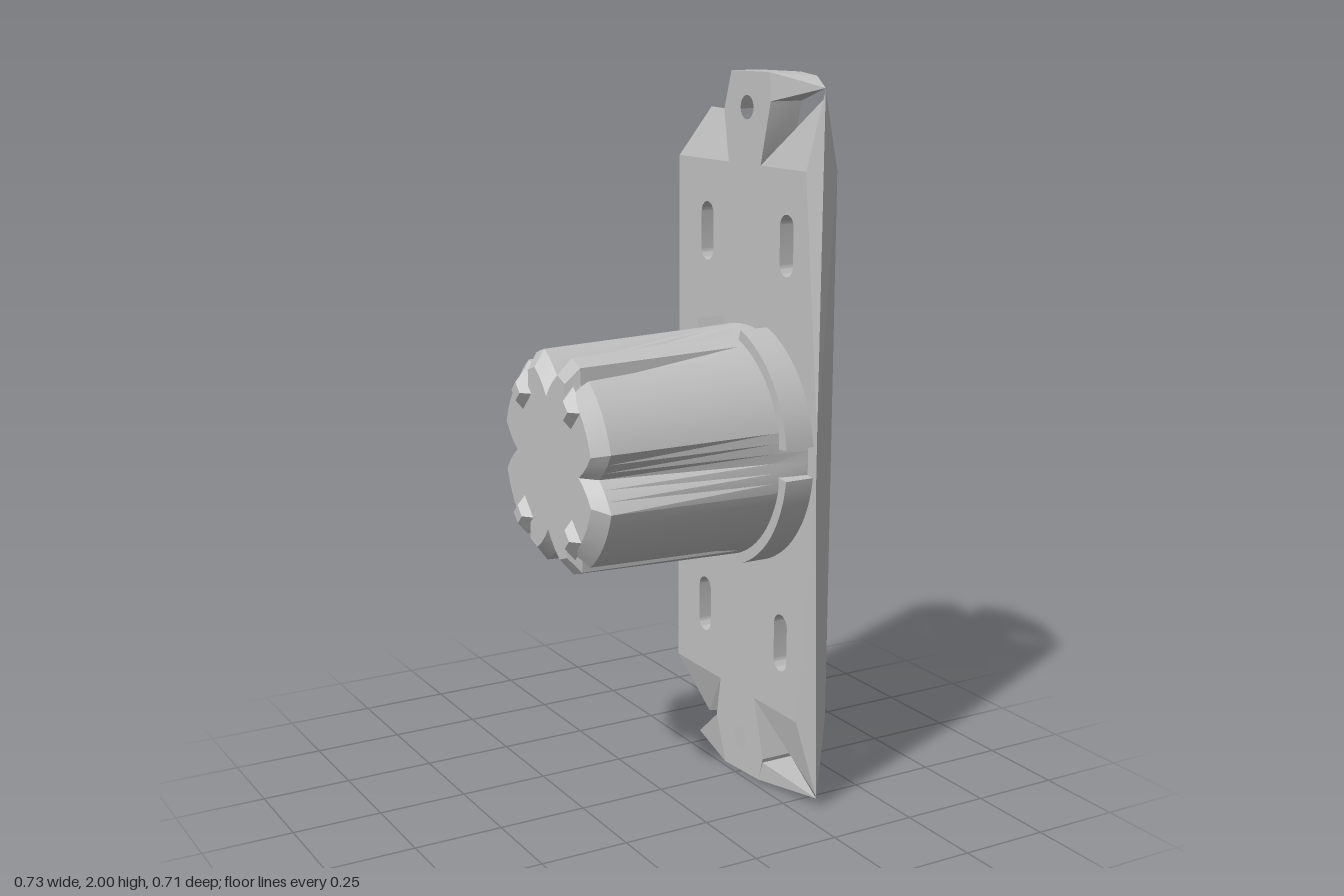
import * as THREE from 'three';
import { toCreasedNormals } from 'three/addons/utils/BufferGeometryUtils.js';
import { ConvexGeometry } from 'three/addons/geometries/ConvexGeometry.js';

const X0 = 0.265, X1 = 0.362, TIP = 0.31;

export function createModel() {
  const model = new THREE.Group();
  const grey = new THREE.MeshStandardMaterial({ color: 0xc0c0c0 });
  grey.name = 'grey';

  const add = (name, geo, crease = 0.4) => {
    const mesh = new THREE.Mesh(toCreasedNormals(geo, crease), grey);
    mesh.name = name;
    model.add(mesh);
    return mesh;
  };

  // Extrudes a shape drawn in (-z, y) along x
  const extrudeX = (shape, x0, x1) => {
    const g = new THREE.ExtrudeGeometry(shape, { depth: x1 - x0, bevelEnabled: false, curveSegments: 16 });
    return g.rotateY(Math.PI / 2).translate(x0, 0, 0);
  };

  // Mounting plate with end tongues; points are [z, y]
  const outline = [
    [0.285, 0.25], [0.285, 1.755], [0.07, 1.755], [0.115, 1.925], [0.11, 2], [-0.08, 2],
    [-0.115, 1.895], [-0.09, 1.755], [-0.355, 1.755], [-0.355, 0.25], [-0.11, 0.25],
    [-0.13, 0.13], [-0.08, 0], [0.1, 0.01], [0.12, 0.08], [0.07, 0.25],
  ];
  const plate = new THREE.Shape(outline.map(([z, y]) => new THREE.Vector2(-z, y)));
  for (const y of [0.105, 1.905]) {
    plate.holes.push(new THREE.Path().absarc(0, y, 0.032, 0, Math.PI * 2, true));
  }
  for (const u of [-0.2, 0.2]) for (const y of [0.455, 1.555]) {
    const slot = new THREE.Path();
    slot.absarc(u, y + 0.05, 0.032, 0, Math.PI, false);
    slot.absarc(u, y - 0.05, 0.032, Math.PI, Math.PI * 2, false);
    slot.closePath();
    plate.holes.push(slot);
  }
  add('mountingPlate', extrudeX(plate, X0, X1));

  // Faceted pieces: full-thickness base points and thin tip points, both [z, y]
  const wedge = (name, base, tips) => {
    const pts = [];
    for (const [z, y] of base) pts.push(new THREE.Vector3(X0, y, z), new THREE.Vector3(X1, y, z));
    for (const [z, y] of tips) pts.push(new THREE.Vector3(TIP, y, z));
    add(name, new ConvexGeometry(pts), 0.05);
  };
  wedge('topBackCorner', [[-0.355, 1.755], [-0.09, 1.755]], [[-0.255, 1.895], [-0.115, 1.89]]);
  wedge('topFrontCorner', [[0.285, 1.755], [0.07, 1.755]], [[0.22, 1.89], [0.297, 1.94]]);
  wedge('bottomBackCorner', [[-0.355, 0.25], [-0.11, 0.25]], [[-0.245, 0.095], [-0.14, 0.13]]);
  wedge('bottomFrontCorner', [[0.285, 0.25], [0.07, 0.25]], [[0.2, 0.12], [0.32, 0.04]]);
  wedge('topFrontFin', [[0.115, 1.925], [0.11, 2]], [[0.3, 1.965], [0.26, 1.995]]);
  wedge('topBackFin', [[-0.08, 2], [-0.115, 1.895]], [[-0.16, 1.965]]);
  wedge('bottomFrontFin', [[0.1, 0.01], [0.12, 0.07]], [[0.325, 0.03]]);
  wedge('bottomBackFin', [[-0.08, 0], [-0.13, 0.13]], [[-0.3, 0.01]]);

  // Bowed, chamfered front edge of the plate
  add('frontEdge', new ConvexGeometry([
    [X0, 0.25, 0.285], [X0, 1.755, 0.285], [X1, 0.25, 0.285], [X1, 1.755, 0.285],
    [X0, 0.93, 0.358], [X0, 1.07, 0.358], [TIP, 1.96, 0.3], [TIP, 0.03, 0.325],
  ].map((p) => new THREE.Vector3(...p))), 0.05);

  // Grooved hub: rings of [x, radius], grooves fading out towards the plate
  const rings = [[-0.345, 0], [-0.345, 0.255], [-0.31, 0.3], [0.16, 0.315], [X0 + 0.01, 0.32]];
  const N = 72, pos = [], idx = [];
  const groove = (deg, x) => {
    const axis = Math.abs(((deg + 45) % 90) - 45);
    const fade = THREE.MathUtils.clamp((X0 - x) / 0.575, 0, 1);
    let d = 0.075 * Math.max(0, 1 - axis / 15) * fade;
    const fromY = Math.abs(((deg + 90) % 180) - 90);
    const slitFade = THREE.MathUtils.clamp((0.16 - x) / 0.47, 0, 1);
    d += 0.04 * Math.max(0, 1 - Math.abs(fromY - 30) / 5) * slitFade;
    return d;
  };
  for (const [x, r] of rings) for (let i = 0; i < N; i++) {
    const deg = i * 360 / N, a = THREE.MathUtils.degToRad(deg);
    const rr = r === 0 ? 0 : r - groove(deg, x);
    pos.push(x, 1 + rr * Math.cos(a), rr * Math.sin(a));
  }
  for (let j = 0; j < rings.length - 1; j++) for (let i = 0; i < N; i++) {
    const a = j * N + i, b = j * N + (i + 1) % N;
    if (j > 0) idx.push(a, b, a + N);
    idx.push(b, b + N, a + N);
  }
  const hub = new THREE.BufferGeometry();
  hub.setAttribute('position', new THREE.Float32BufferAttribute(pos, 3));
  hub.setIndex(idx);
  add('hub', hub, 0.25);

  // Small raised lumps on the hub's end
  for (const sy of [-1, 1]) for (const sz of [-1, 1]) {
    const lump = new THREE.CylinderGeometry(0.025, 0.06, 0.03, 4).rotateZ(Math.PI / 2);
    add('endLump', lump).position.set(-0.352, 1 + sy * 0.17, sz * 0.14);
  }

  // Flange arcs, one per quadrant, with gaps between them
  const rad = THREE.MathUtils.degToRad;
  for (const start of [7, 109, 187, 289]) {
    const arc = new THREE.Shape();
    arc.absarc(0, 1, 0.345, rad(start), rad(start + 64), false);
    arc.absarc(0, 1, 0.29, rad(start + 64), rad(start), true);
    arc.closePath();
    add('flangeArc', extrudeX(arc, 0.18, X0 + 0.005));
  }
  return model;
}
